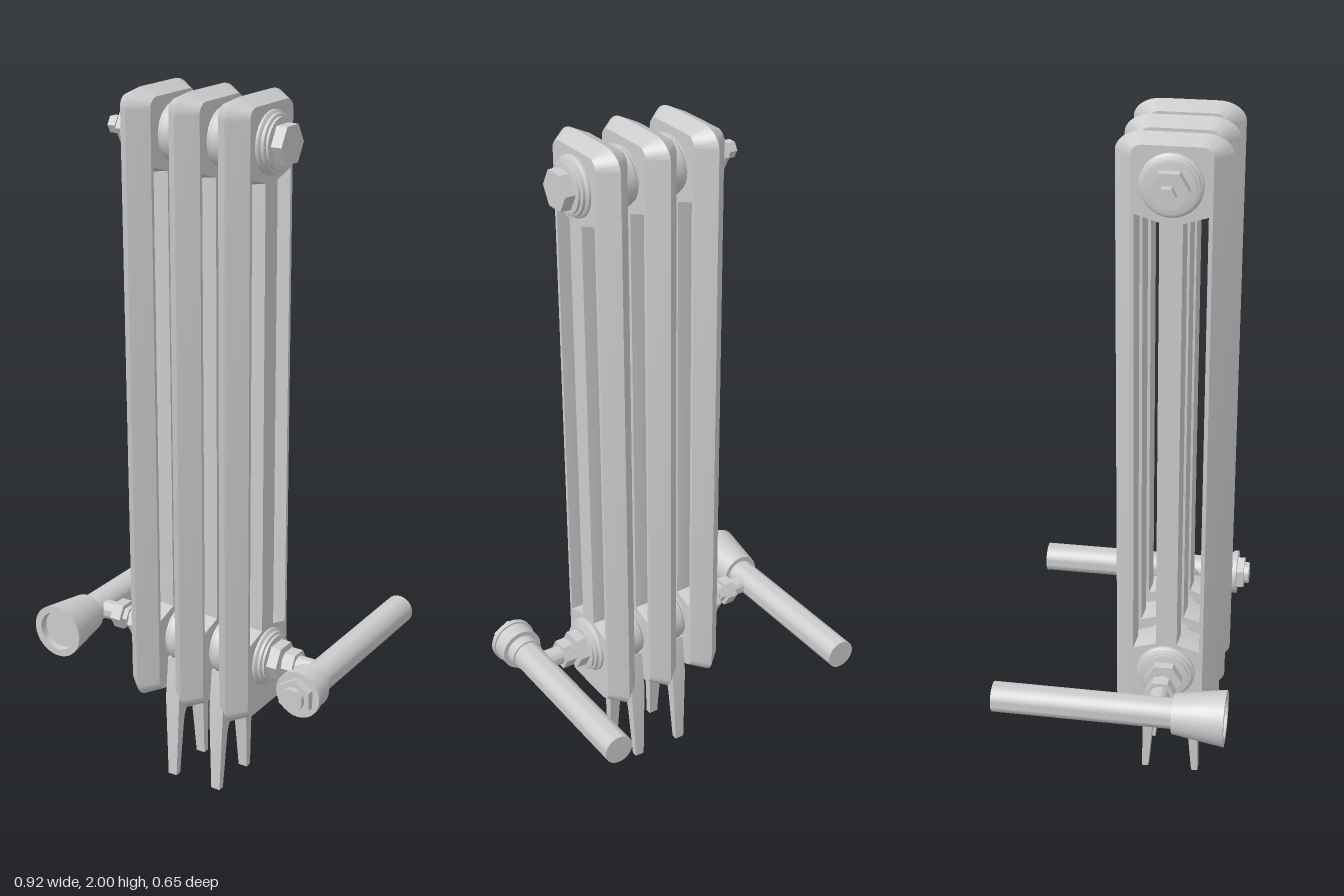
import * as THREE from 'three';
import { toCreasedNormals } from 'three/addons/utils/BufferGeometryUtils.js';

const material = new THREE.MeshStandardMaterial({ color: 0xcccccc });
const CZ = 0.13, TOP = 1.88, LOW = 0.43;
const SECTIONS = [-0.134, 0.015, 0.163];

function add(parent, name, geometry, x, y, z) {
  const mesh = new THREE.Mesh(toCreasedNormals(geometry, 0.6), material);
  mesh.name = name;
  mesh.position.set(x, y, z);
  parent.add(mesh);
  return mesh;
}

// Turned part: profile of [radius, position along the axis], position increasing
function turned(parent, name, axis, profile, x, y, z, sides = 28) {
  const g = new THREE.LatheGeometry(profile.map(([r, t]) => new THREE.Vector2(r, t)), sides);
  if (axis === 'x') g.rotateZ(-Math.PI / 2);
  else g.rotateX(Math.PI / 2);
  return add(parent, name, g, x, y, z);
}

const rod = (r, a, b) => [[0, a], [r, a], [r, b], [0, b]];
const mirrored = (profile) => profile.map(([r, t]) => [r, -t]).reverse();

// Cast section: rounded plate with two slots, its rim swelling to a ridge in the middle
function sectionGeometry() {
  const W = 0.105, H = 0.851, R = 0.03, depth = 0.094, midY = 1.128;
  const s = new THREE.Shape();
  s.moveTo(-W + R, -H);
  s.lineTo(W - R, -H);
  s.absarc(W - R, -H + R, R, -Math.PI / 2, 0);
  s.absarc(W - R, H - R, R, 0, Math.PI / 2);
  s.absarc(-W + R, H - R, R, Math.PI / 2, Math.PI);
  s.absarc(-W + R, -H + R, R, Math.PI, Math.PI * 1.5);
  for (const k of [-1, 1]) {
    const corners = [[0.03, 0.52], [0.095, 0.5], [0.095, 1.8], [0.03, 1.78]];
    s.holes.push(new THREE.Path(corners.map(([u, y]) => new THREE.Vector2(k * u, y - midY))));
  }
  const g = new THREE.ExtrudeGeometry(s, { depth, steps: 2, bevelEnabled: false, curveSegments: 6 });
  const p = g.attributes.position;
  for (let i = 0; i < p.count; i++) {
    if (Math.abs(p.getZ(i) - depth / 2) > 0.001) continue;
    const u = p.getX(i), y = p.getY(i);
    const inSlot = Math.abs(u) < 0.096 && Math.abs(y) < 0.7;
    if (inSlot) {
      const c = Math.sign(u) * 0.0625;
      p.setX(i, u + Math.sign(c - u) * 0.006);
      p.setY(i, y - Math.sign(y) * 0.006);
    } else {
      const du = u - THREE.MathUtils.clamp(u, -W + R, W - R);
      const dy = y - THREE.MathUtils.clamp(y, -H + R, H - R);
      p.setXY(i, u + (du / R) * 0.045, y + (dy / R) * 0.022);
    }
  }
  g.translate(0, 0, -depth / 2);
  g.rotateY(Math.PI / 2);
  g.translate(0, midY, 0);
  return g;
}

// Forked foot, tapering in thickness towards the floor
function footGeometry() {
  const s = new THREE.Shape();
  s.moveTo(0.066, 0);
  s.lineTo(0.085, 0);
  s.lineTo(0.08, 0.25);
  s.lineTo(0.06, 0.37);
  s.lineTo(-0.06, 0.37);
  s.lineTo(-0.08, 0.25);
  s.lineTo(-0.085, 0);
  s.lineTo(-0.066, 0);
  s.lineTo(-0.052, 0.17);
  s.bezierCurveTo(-0.045, 0.25, 0.045, 0.25, 0.052, 0.17);
  const g = new THREE.ExtrudeGeometry(s, { depth: 1, bevelEnabled: false, curveSegments: 12 });
  g.translate(0, 0, -0.5);
  const p = g.attributes.position;
  for (let i = 0; i < p.count; i++) {
    p.setZ(i, p.getZ(i) * THREE.MathUtils.lerp(0.028, 0.054, Math.min(1, p.getY(i) / 0.36)));
  }
  return g.rotateY(Math.PI / 2);
}

export function createModel() {
  const model = new THREE.Group();
  model.name = 'radiator';

  for (const x of SECTIONS) add(model, 'section', sectionGeometry(), x, 0, CZ);

  // Feet and stepped joints between the sections
  const joint = [[0.072, -0.032], [0.072, -0.024], [0.078, -0.024], [0.078, -0.018], [0.083, -0.013],
    [0.083, 0.013], [0.078, 0.018], [0.078, 0.024], [0.072, 0.024], [0.072, 0.032]];
  for (const x of [-0.06, 0.089]) {
    add(model, 'foot', footGeometry(), x, 0, CZ);
    for (const y of [TOP, LOW]) turned(model, 'joint', 'x', joint, x, y, CZ);
  }

  // Stepped bosses with hexagonal plugs on both ends
  const boss = [[0.083, -0.005], [0.083, 0.006], [0.076, 0.012], [0.076, 0.02], [0.068, 0.022], [0.068, 0.029], [0, 0.029]];
  for (const y of [TOP, LOW]) {
    turned(model, 'endBoss', 'x', boss, 0.21, y, CZ);
    turned(model, 'endPlug', 'x', rod(0.056, 0.02, 0.06), 0.21, y, CZ, 6);
    turned(model, 'endBoss', 'x', mirrored(boss), -0.181, y, CZ);
    turned(model, 'endPlug', 'x', rod(0.053, -0.055, -0.02), -0.181, y, CZ, 6);
  }

  // Air vent on the upper end
  turned(model, 'ventStem', 'x', rod(0.013, -0.262, -0.23), 0, TOP, CZ, 16);
  turned(model, 'ventKnob', 'x', rod(0.025, -0.281, -0.257), 0, TOP, CZ, 6);

  // Couplings to the two pipes
  turned(model, 'couplingTail', 'x', rod(0.02, -0.275, -0.23), 0, LOW, CZ);
  turned(model, 'couplingCollar', 'x', rod(0.029, -0.278, -0.255), 0, LOW, CZ, 6);
  turned(model, 'couplingNut', 'x', rod(0.043, -0.303, -0.27), 0, LOW, CZ, 6);
  turned(model, 'couplingBranch', 'x', rod(0.028, -0.36, -0.3), 0, LOW, CZ);
  turned(model, 'couplingTail', 'x', rod(0.026, 0.265, 0.28), 0, LOW, CZ);
  turned(model, 'couplingNut', 'x', rod(0.043, 0.278, 0.312), 0, LOW, CZ, 6);
  turned(model, 'couplingBranch', 'x', rod(0.028, 0.31, 0.37), 0, LOW, CZ);

  // Pipes running back
  turned(model, 'rightPipe', 'z', rod(0.043, -0.33, 0.19), -0.382, LOW, 0);
  turned(model, 'leftPipe', 'z', rod(0.043, -0.33, 0.19), 0.392, LOW, 0);

  // Flared valve handle with a recessed face
  turned(model, 'valveHandle', 'z',
    [[0, 0.18], [0.057, 0.18], [0.079, 0.325], [0.058, 0.325], [0.056, 0.305], [0, 0.305]], -0.382, LOW, 0);

  // Stepped lockshield cap with a hexagonal end
  turned(model, 'lockshield', 'z',
    [[0.043, 0.18], [0.048, 0.18], [0.048, 0.213], [0.062, 0.213], [0.062, 0.262], [0.067, 0.262], [0.067, 0.277], [0, 0.277]],
    0.392, LOW, 0);
  turned(model, 'lockshieldNut', 'z', rod(0.053, 0.275, 0.298), 0.392, LOW, 0, 6);
  turned(model, 'lockshieldTip', 'z', rod(0.033, 0.295, 0.313), 0.392, LOW, 0);

  return model;
}
